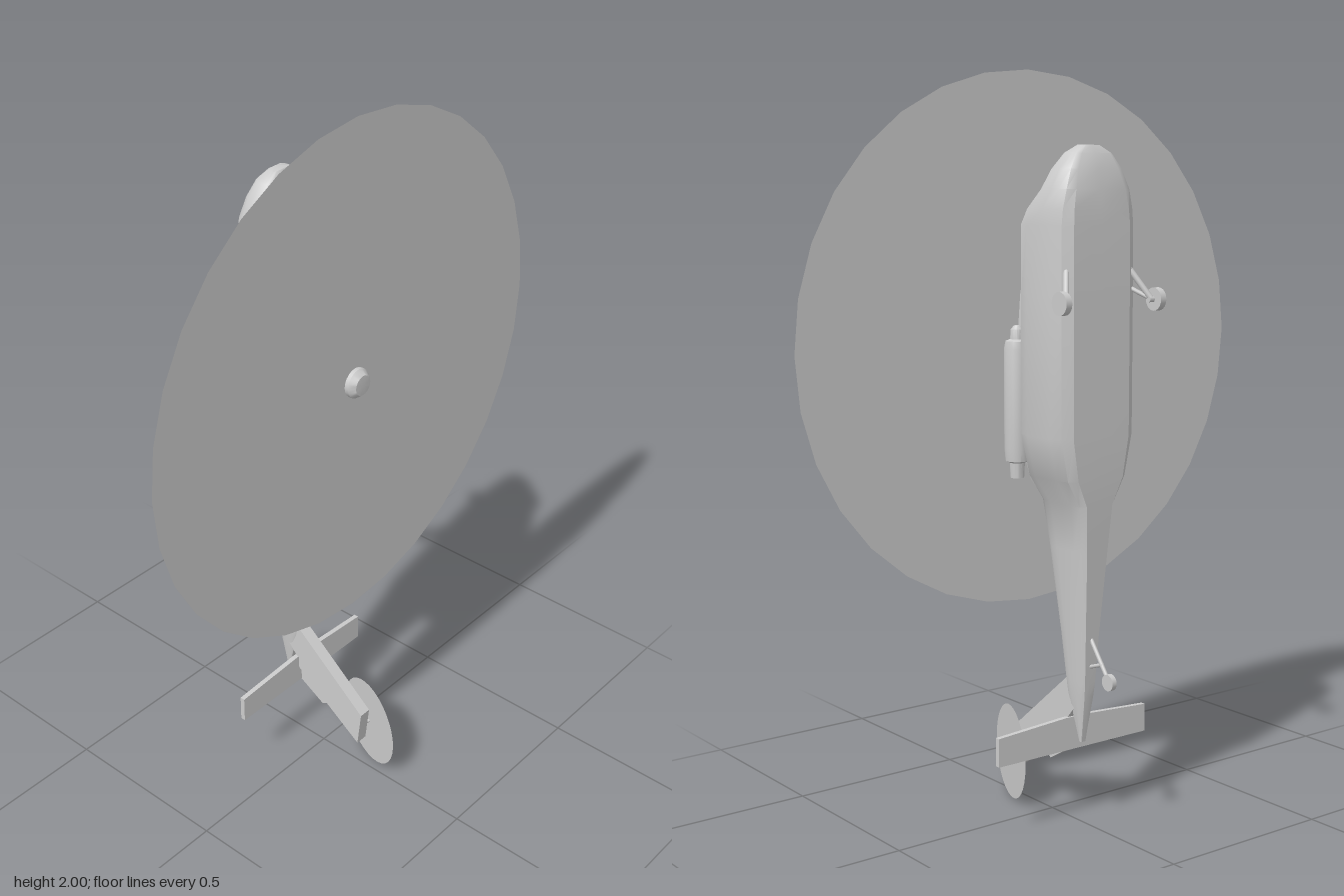
import * as THREE from 'three';
import { toCreasedNormals } from 'three/addons/utils/BufferGeometryUtils.js';

const grey = new THREE.MeshStandardMaterial({ color: 0xcccccc });
const thin = new THREE.MeshStandardMaterial({ color: 0xcccccc, side: THREE.DoubleSide });

// Half cross-sections from belly to roof: [share of half width, share of depth]
const HULL = [[0, 0], [0.68, 0], [0.87, 0.09], [0.97, 0.25], [1, 0.45], [1, 0.7], [0.95, 0.86], [0.78, 0.98], [0, 1]];
const COWL = [[0, 0], [1, 0], [1, 0.5], [0.95, 0.85], [0.8, 1], [0, 1]];

// Skin over mirrored cross-sections; rows are [y, half width, belly z, roof z], y falling
function loft(half, rows) {
  const ring = [...half, ...half.slice(1, -1).reverse().map(([u, v]) => [-u, v])];
  const n = ring.length;
  const pos = [];
  for (const [y, w, zb, zt] of rows) {
    for (const [u, v] of ring) pos.push(u * w, y, zb + v * (zt - zb));
  }
  const idx = [];
  for (let j = 0; j < rows.length - 1; j++) {
    for (let i = 0; i < n; i++) {
      const a = j * n + i, b = j * n + (i + 1) % n;
      idx.push(a, b, b + n, a, b + n, a + n);
    }
  }
  const last = (rows.length - 1) * n;
  for (let i = 1; i < n - 1; i++) {
    idx.push(0, i + 1, i, last, last + i, last + i + 1);
  }
  const g = new THREE.BufferGeometry();
  g.setAttribute('position', new THREE.Float32BufferAttribute(pos, 3));
  g.setIndex(idx);
  return toCreasedNormals(g, 0.55);
}

function lathe(points, segments = 20) {
  const g = new THREE.LatheGeometry(points.map(([r, y]) => new THREE.Vector2(r, y)), segments);
  return toCreasedNormals(g, 0.6);
}

// Flat plate from a side outline of [z, y] points, with its thickness along x
function plate(outline, thickness) {
  const shape = new THREE.Shape(outline.map(([z, y]) => new THREE.Vector2(-z, y)));
  const g = new THREE.ExtrudeGeometry(shape, { depth: thickness, bevelEnabled: false });
  return g.translate(0, 0, -thickness / 2).rotateY(Math.PI / 2);
}

export function createModel() {
  const model = new THREE.Group();
  model.name = 'helicopter';

  function add(name, geometry, material = grey, parent = model) {
    const mesh = new THREE.Mesh(geometry, material);
    mesh.name = name;
    parent.add(mesh);
    return mesh;
  }

  function rod(name, from, to, radius, parent = model) {
    const a = new THREE.Vector3(...from), b = new THREE.Vector3(...to);
    const dir = b.clone().sub(a);
    const mesh = add(name, new THREE.CylinderGeometry(radius, radius, dir.length(), 10), grey, parent);
    mesh.position.copy(a).add(b).multiplyScalar(0.5);
    mesh.quaternion.setFromUnitVectors(new THREE.Vector3(0, 1, 0), dir.normalize());
    return mesh;
  }

  function wheel(name, x, y, z, radius, width, parent = model) {
    const g = new THREE.CylinderGeometry(radius, radius, width, 20).rotateZ(Math.PI / 2);
    add(name, g, grey, parent).position.set(x, y, z);
  }

  // Body with nose, cabin and tail boom in one skin
  add('fuselage', loft(HULL, [
    [1.8, 0.03, -0.163, -0.135],
    [1.78, 0.065, -0.177, -0.12],
    [1.74, 0.095, -0.19, -0.1],
    [1.69, 0.117, -0.2, -0.08],
    [1.64, 0.13, -0.204, -0.03],
    [1.6, 0.134, -0.206, -0.005],
    [1.42, 0.135, -0.206, -0.005],
    [1.06, 0.134, -0.206, -0.005],
    [0.95, 0.108, -0.204, -0.008],
    [0.88, 0.062, -0.2, -0.018],
    [0.757, 0.05, -0.191, -0.038],
    [0.52, 0.032, -0.171, -0.07],
    [0.4, 0.025, -0.163, -0.085],
    [0.36, 0.022, -0.158, -0.09],
    [0.23, 0.008, -0.136, -0.126],
  ]));

  // Raised housing over the cabin
  add('engineCowling', loft(COWL, [
    [1.6, 0.07, -0.06, -0.008],
    [1.56, 0.08, -0.06, 0.012],
    [1.42, 0.09, -0.06, 0.042],
    [1.23, 0.095, -0.06, 0.058],
    [1.05, 0.092, -0.06, 0.053],
    [0.93, 0.072, -0.06, 0.016],
    [0.88, 0.05, -0.06, -0.015],
  ]));

  // Both sides: engine pod and main landing gear
  for (const [side, s] of [['left', 1], ['right', -1]]) {
    const pod = add(side + 'EnginePod', lathe([
      [0, 0.94], [0.018, 0.94], [0.02, 0.98], [0.031, 0.985], [0.034, 1.02],
      [0.034, 1.28], [0.03, 1.3], [0.018, 1.305], [0.016, 1.33], [0.008, 1.34], [0, 1.34],
    ]));
    pod.position.set(0.115 * s, 0, 0.002);

    const gear = new THREE.Group();
    gear.name = side + 'MainGear';
    model.add(gear);
    rod('strut', [0.1 * s, 1.495, -0.185], [0.14 * s, 1.41, -0.235], 0.008, gear);
    rod('brace', [0.105 * s, 1.44, -0.185], [0.14 * s, 1.41, -0.235], 0.006, gear);
    rod('axle', [0.13 * s, 1.41, -0.235], [0.16 * s, 1.41, -0.235], 0.008, gear);
    wheel('wheel', 0.154 * s, 1.41, -0.237, 0.03, 0.018, gear);
  }

  // Tail landing gear
  rod('tailStrut', [0, 0.52, -0.165], [0, 0.42, -0.24], 0.006);
  rod('tailBrace', [0, 0.44, -0.155], [0, 0.46, -0.215], 0.005);
  wheel('tailWheel', 0, 0.418, -0.242, 0.022, 0.014);

  // Swept fin with its trailing panel
  add('tailFin', plate([
    [-0.15, 0.36], [-0.085, 0.4], [0.157, 0.2], [0.145, 0.09],
    [0.01, 0.185], [-0.08, 0.25], [-0.09, 0.29],
  ], 0.036));
  add('finTrailingPanel', plate([
    [-0.08, 0.28], [0.03, 0.2], [0.03, 0.168], [0, 0.15], [-0.085, 0.2],
  ], 0.012));

  // Horizontal tailplane, tapering slightly to the tips
  const plane = new THREE.Shape([
    [-0.25, 0.2], [0.25, 0.2], [0.25, 0.277], [0.03, 0.29], [-0.03, 0.29], [-0.25, 0.277],
  ].map(([x, y]) => new THREE.Vector2(x, y)));
  add('tailplane', new THREE.ExtrudeGeometry(plane, { depth: 0.014, bevelEnabled: false }))
    .position.z = -0.096;

  // Main rotor, drawn as a spinning disc around a stepped hub
  add('rotorHub', lathe([
    [0, 0.03], [0.026, 0.03], [0.026, 0.058], [0.018, 0.062], [0.018, 0.083], [0.033, 0.085],
    [0.041, 0.092], [0.041, 0.116], [0.028, 0.132], [0, 0.134],
  ]).rotateX(Math.PI / 2)).position.y = 1.287;
  add('rotorDisc', new THREE.CircleGeometry(0.713, 32), thin).position.set(0, 1.287, 0.105);

  // Canted tail rotor on its short shaft
  const tail = new THREE.Group();
  tail.name = 'tailRotor';
  tail.position.set(0.037, 0.137, 0.142);
  tail.rotation.y = 1.245;
  model.add(tail);
  add('tailRotorDisc', new THREE.CircleGeometry(0.132, 32), thin, tail);
  rod('tailRotorShaft', [0, 0, -0.03], [0, 0, 0.006], 0.005, tail);

  return model;
}
